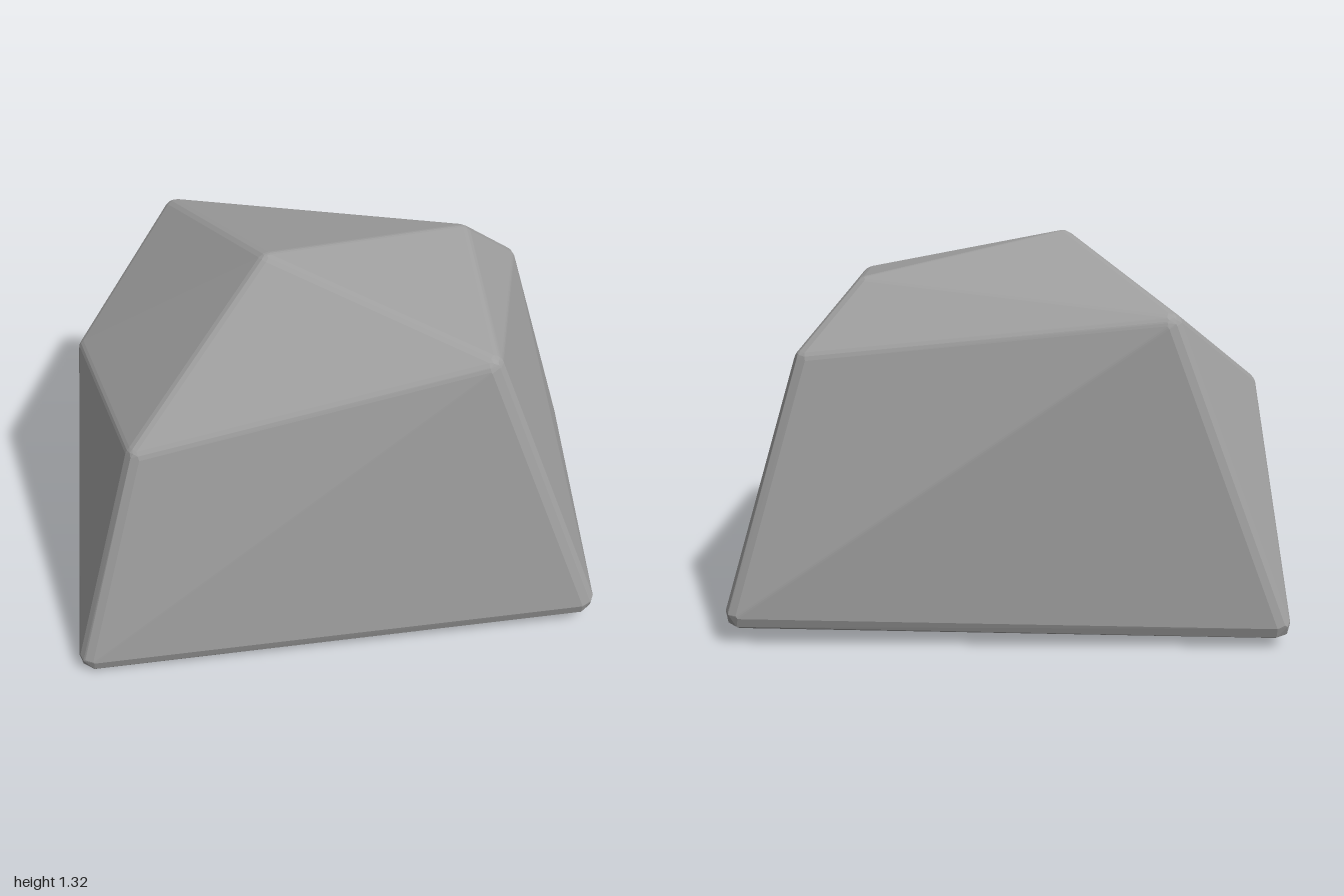
import * as THREE from 'three';
import { ConvexGeometry } from 'three/addons/geometries/ConvexGeometry.js';

const RADIUS = 0.05; // softness of the worn edges

// Centres of the rounded corners
const corners = [
  // base
  [-0.95, 0.05, 0.595], [0.78, 0.09, 0.66], [0.95, 0.1, -0.41], [-0.86, 0.075, -0.665],
  // shoulders
  [-0.73, 0.81, 0.47], [0.42, 1.08, 0.555], [0.69, 0.95, -0.28],
  [-0.48, 1.1, -0.58], [-0.84, 0.8, -0.19],
  // crown
  [0.48, 1.16, -0.12], [-0.24, 1.27, 0.12],
].map((p) => new THREE.Vector3(...p));

// Hull of the corners, pushed out along each face and halfway between faces,
// which leaves flat facets joined by two-step bevels.
function bevelledHull(points, radius) {
  const pos = new ConvexGeometry(points).attributes.position;
  const normals = points.map(() => []);
  const tri = new THREE.Triangle();
  for (let i = 0; i < pos.count; i += 3) {
    tri.setFromAttributeAndIndices(pos, i, i + 1, i + 2);
    const n = tri.getNormal(new THREE.Vector3());
    for (const v of [tri.a, tri.b, tri.c]) {
      const k = points.findIndex((p) => p.distanceTo(v) < 1e-4);
      if (!normals[k].some((m) => m.dot(n) > 0.9999)) normals[k].push(n);
    }
  }
  const out = [];
  points.forEach((p, k) => {
    const list = normals[k];
    list.forEach((n, i) => {
      out.push(p.clone().addScaledVector(n, radius));
      for (let j = 0; j < i; j++) {
        const mid = n.clone().add(list[j]).normalize();
        if (mid.dot(n) < 0.995) out.push(p.clone().addScaledVector(mid, radius));
      }
    });
  });
  return new ConvexGeometry(out);
}

export function createModel() {
  const group = new THREE.Group();
  group.name = 'rock';

  const stone = new THREE.MeshStandardMaterial({ color: 0xa0a0a0 });
  stone.name = 'grey stone';

  // Boulder, settled on the ground and centred
  const geometry = bevelledHull(corners, RADIUS);
  geometry.computeBoundingBox();
  const box = geometry.boundingBox;
  const mid = box.getCenter(new THREE.Vector3());
  geometry.translate(-mid.x, -box.min.y, -mid.z);

  const boulder = new THREE.Mesh(geometry, stone);
  boulder.name = 'boulder';
  group.add(boulder);
  return group;
}
